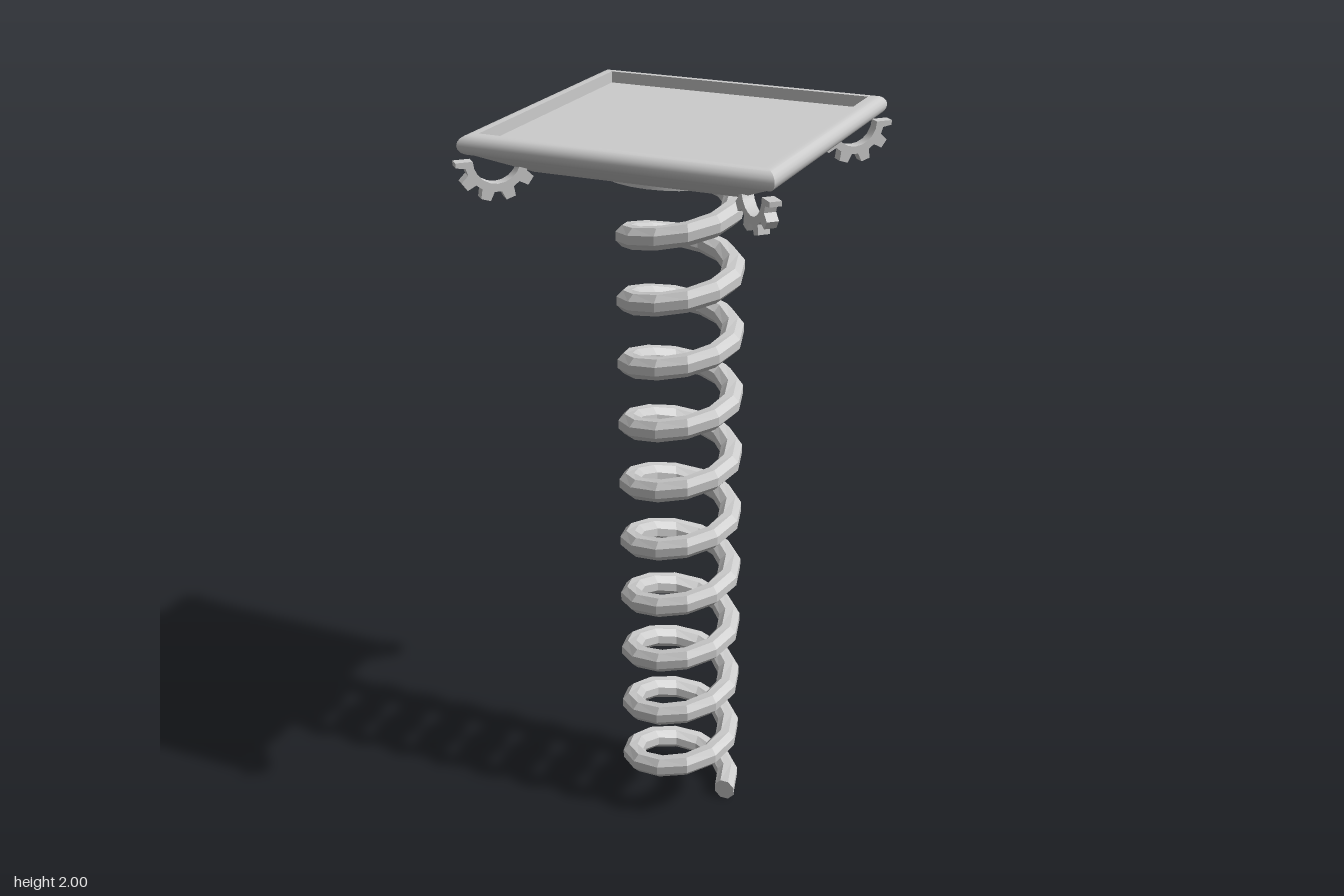
import * as THREE from 'three';
import { toCreasedNormals } from 'three/addons/utils/BufferGeometryUtils.js';
import { ParametricGeometry } from 'three/addons/geometries/ParametricGeometry.js';

const smooth = new THREE.MeshStandardMaterial({ color: 0xcccccc });
const faceted = new THREE.MeshStandardMaterial({ color: 0xcccccc, flatShading: true });

function part(name, geometry, material = smooth) {
  const mesh = new THREE.Mesh(geometry, material);
  mesh.name = name;
  return mesh;
}

const points = (list) => list.map(([r, y]) => new THREE.Vector2(r, y));

// Coil spring: vertical eight-sided sections swept up a helix
function spring() {
  const group = new THREE.Group();
  group.name = 'spring';
  const turns = 10.75, pitch = 0.1735, radius = 0.138, wire = 0.031, sides = 8, base = 0.03;
  const sweep = (u, v, target) => {
    const t = u * turns * Math.PI * 2;
    const a = (v + 0.5 / sides) * Math.PI * 2;
    const r = radius + wire * Math.cos(a);
    target.set(r * Math.cos(t), base + u * turns * pitch + wire * Math.sin(a), -r * Math.sin(t));
  };
  group.add(part('coil', new ParametricGeometry(sweep, Math.round(turns * 12), sides), faceted));
  group.children[0].material = faceted.clone();
  group.children[0].material.side = THREE.DoubleSide;

  // Flat cap on the lower end of the wire
  const cap = part('coilEnd', new THREE.CircleGeometry(wire, sides, Math.PI / sides), faceted);
  cap.position.set(radius, base, 0);
  group.add(cap);
  return group;
}

// Square tray: a profile turned in four steps, with a rounded rim and tapered underside
function tray() {
  const profile = [[0, 1.912], [0.24, 1.912], [0.24, 1.893], [0.27, 1.893], [0.37, 1.945], [0.385, 1.95]];
  for (let i = 0; i <= 8; i++) {
    const a = -Math.PI / 2 + (i / 8) * Math.PI;
    profile.push([0.38 + 0.025 * Math.cos(a), 1.975 + 0.025 * Math.sin(a)]);
  }
  profile.splice(5, 1);
  profile.push([0.365, 2], [0.365, 1.97], [0, 1.97]);
  const scaled = profile.map(([h, y]) => [h * Math.SQRT2, y]);
  const geometry = new THREE.LatheGeometry(points(scaled), 4, Math.PI / 4);
  return part('tray', toCreasedNormals(geometry, 0.6));
}

// Round socket holding the top of the spring
function socket() {
  const profile = [[0, 1.9], [0.18, 1.9], [0.185, 1.865], [0.21, 1.865], [0.21, 1.915]];
  return part('socket', toCreasedNormals(new THREE.LatheGeometry(points(profile), 32), 0.6));
}

// Toothed half ring, hanging open side up
function halfGear() {
  const shape = new THREE.Shape();
  const inner = 0.06, root = 0.08, tip = 0.103, step = Math.PI / 5;
  const at = (r, a) => [r * Math.cos(a), r * Math.sin(a)];
  shape.moveTo(...at(inner, Math.PI));
  for (let i = 0; i <= 5; i++) {
    const a = Math.PI + i * step;
    if (i > 0) shape.lineTo(...at(root, a - 0.2));
    shape.lineTo(...at(tip, i > 0 ? a - 0.12 : a));
    shape.lineTo(...at(tip, i < 5 ? a + 0.12 : a));
    if (i < 5) shape.lineTo(...at(root, a + 0.2));
  }
  for (let i = 0; i < 10; i++) shape.lineTo(...at(inner, Math.PI * 2 - (i / 10) * Math.PI));
  const geometry = new THREE.ExtrudeGeometry(shape, { depth: 0.03, bevelEnabled: false });
  return toCreasedNormals(geometry.translate(0, 0, -0.015), 0.5);
}

export function createModel() {
  const model = new THREE.Group();
  model.name = 'springTable';
  model.add(spring(), tray(), socket());

  // One half gear under each corner, in line with the diagonal
  const gear = halfGear();
  for (let i = 0; i < 4; i++) {
    const a = Math.PI / 4 + (i * Math.PI) / 2;
    const mesh = part('cornerGear', gear);
    const reach = 0.338 * Math.SQRT2;
    mesh.position.set(reach * Math.cos(a), 1.937, -reach * Math.sin(a));
    mesh.rotation.y = a;
    model.add(mesh);
  }
  return model;
}
